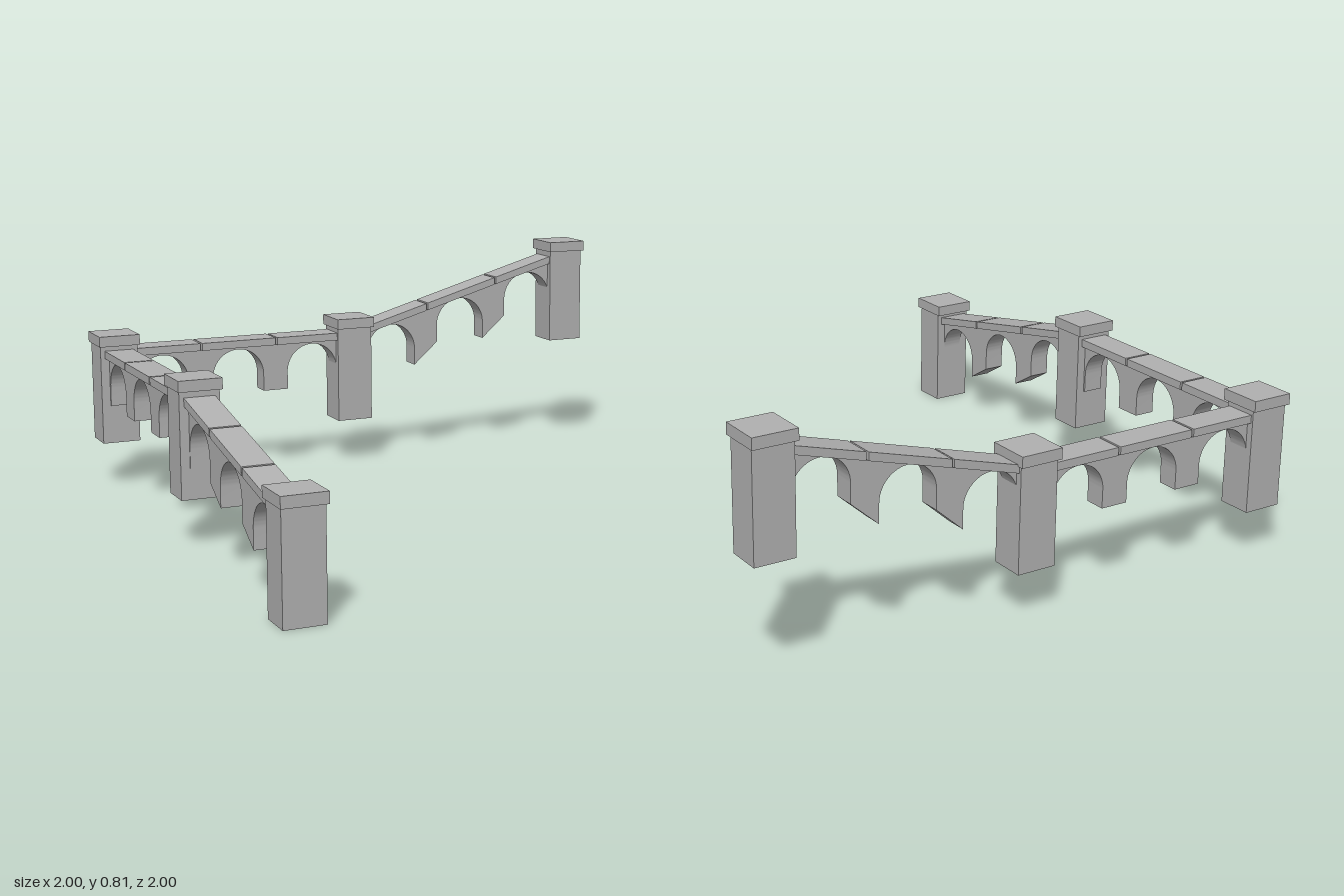
import * as THREE from 'three';
import { toCreasedNormals } from 'three/addons/utils/BufferGeometryUtils.js';

const PITCH = 0.297;   // distance between arch centres
const RADIUS = 0.1;    // arch radius
const LEG = 0.067;     // straight leg below the springing line
const EDGE = 0.925;    // offset of the bridge axis from the centre

export function createModel() {
  const model = new THREE.Group();
  model.name = 'archedBridge';
  const stone = new THREE.MeshStandardMaterial({ color: 0xb0b0b0 });
  stone.name = 'grey stone';

  const add = (parent, name, geometry) => {
    const mesh = new THREE.Mesh(geometry, stone);
    mesh.name = name;
    parent.add(mesh);
    return mesh;
  };

  // Side profile (u, y) extruded symmetrically about the bridge axis
  const extrude = (shape, depth) => {
    const geo = new THREE.ExtrudeGeometry(shape, { depth, bevelEnabled: false, curveSegments: 24 });
    geo.translate(0, 0, -depth / 2);
    return toCreasedNormals(geo, 0.5);
  };

  // Pillar: shaft with a square cap
  function addPillar(name, x, z, base) {
    const pillar = new THREE.Group();
    pillar.name = name;
    pillar.position.set(x, base, z);
    add(pillar, 'shaft', new THREE.BoxGeometry(0.138, 0.36, 0.122)).position.y = 0.18;
    add(pillar, 'cap', new THREE.BoxGeometry(0.15, 0.038, 0.15)).position.y = 0.379;
    model.add(pillar);
  }

  // Span of three stepped round arches under a straight, possibly sloping deck
  function addSpan(name, deckY, springY, slope) {
    const span = new THREE.Group();
    span.name = name;
    const deck = u => deckY + slope * u;
    const end = PITCH * 1.5;

    const wall = new THREE.Shape();
    const foot = u => springY + slope * u - LEG;
    wall.moveTo(-end, deck(-end));
    wall.lineTo(-end, foot(-end));
    for (let i = -1; i <= 1; i++) {
      const c = i * PITCH;
      const y = springY + slope * c;
      wall.lineTo(c - RADIUS, y - LEG);
      wall.lineTo(c - RADIUS, y);
      wall.absarc(c, y, RADIUS, Math.PI, 0, true);
      wall.lineTo(c + RADIUS, y - LEG);
    }
    wall.lineTo(end, foot(end));
    wall.lineTo(end, deck(end));
    add(span, 'archWall', extrude(wall, 0.075));

    // Deck slabs with narrow joints
    for (let i = -1; i <= 1; i++) {
      const a = (i - 0.5) * PITCH + 0.004;
      const b = (i + 0.5) * PITCH - 0.004;
      const slab = new THREE.Shape([
        new THREE.Vector2(a, deck(a)), new THREE.Vector2(b, deck(b)),
        new THREE.Vector2(b, deck(b) + 0.028), new THREE.Vector2(a, deck(a) + 0.028),
      ]);
      add(span, 'deckSlab', extrude(slab, 0.106));
    }
    model.add(span);
    return span;
  }

  addPillar('frontPillar', -EDGE, EDGE, 0);
  addPillar('sidePillar', -EDGE, 0.005, 0.167);
  addPillar('cornerPillar', -EDGE, -EDGE, 0.167);
  addPillar('backPillar', 0.005, -EDGE, 0.167);
  addPillar('endPillar', EDGE, -EDGE, 0.415);

  // Spans along the back
  addSpan('backLevelSpan', 0.482, 0.374, 0).position.set(-0.46, 0, -EDGE);
  addSpan('backRisingSpan', 0.615, 0.51, 0.285).position.set(0.465, 0, -EDGE);

  // Spans along the side, turned so that the profile runs towards +z
  const sides = [
    [addSpan('sideLevelSpan', 0.482, 0.374, 0), -0.46],
    [addSpan('sideFallingSpan', 0.398, 0.277, -0.2), 0.467],
  ];
  for (const [span, z] of sides) {
    span.rotation.y = -Math.PI / 2;
    span.position.set(-EDGE, 0, z);
  }
  return model;
}
